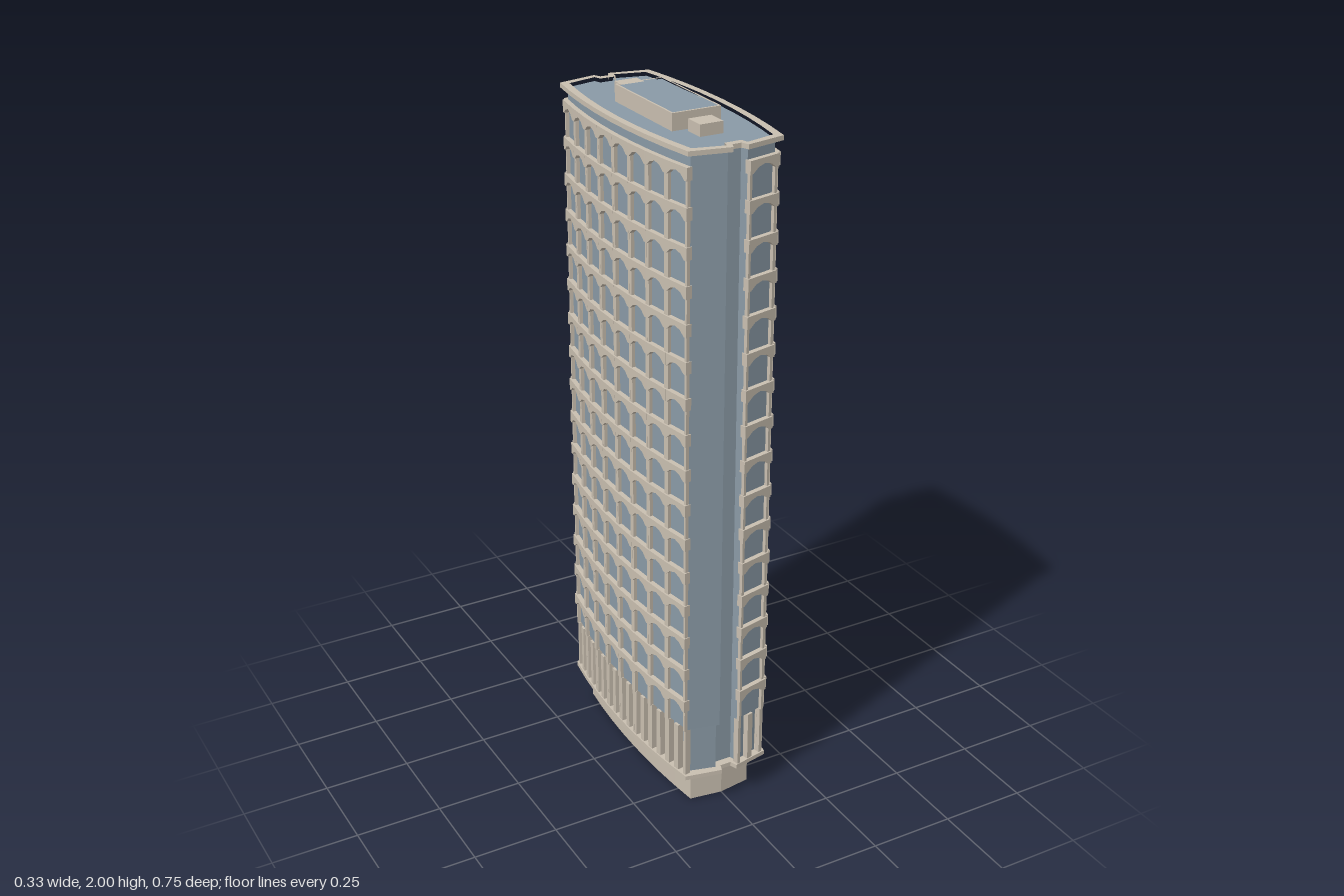
import * as THREE from 'three';
import { mergeGeometries } from 'three/addons/utils/BufferGeometryUtils.js';

const stone = new THREE.MeshStandardMaterial({ color: 0xc9bfb0 });
stone.name = 'warm stone';
const glass = new THREE.MeshStandardMaterial({ color: 0x8a9aa6 });
glass.name = 'blue glass';

// Tower plan [x, z], inset by i: bowed sides in eight chords, pointed notched ends
function towerPlan(i) {
  const half = [];
  const zc = 0.35 - 0.9 * i;
  for (let k = -4; k <= 4; k++) half.push([0.167 - i - 0.03 * (k / 4) ** 2, (zc * k) / 4]);
  half.push([0.022 + 0.4 * i, 0.373 - i], [0.013 + 0.55 * i, 0.352 - i]);
  half.push([-0.013 - 0.55 * i, 0.352 - i], [-0.022 - 0.4 * i, 0.373 - i]);
  return [...half, ...half.map(([x, z]) => [-x, -z])];
}

// Plinth plan: the same bow without notches
function plinthPlan(i) {
  const half = [];
  for (let k = -4; k <= 4; k++) half.push([0.115 - i - 0.02 * (k / 4) ** 2, ((0.31 - i) * k) / 4]);
  half.push([0, 0.324 - i]);
  return [...half, ...half.map(([x, z]) => [-x, -z])];
}

const toPoints = (plan) => plan.map(([x, z]) => new THREE.Vector2(x, -z));

// Vertical prism over a plan, with an optional hole
function prism(plan, y0, y1, hole) {
  const shape = new THREE.Shape(toPoints(plan));
  if (hole) shape.holes.push(new THREE.Path(toPoints(hole)));
  const g = new THREE.ExtrudeGeometry(shape, { depth: y1 - y0, bevelEnabled: false });
  return g.rotateX(-Math.PI / 2).translate(0, y0, 0);
}

function box(w, y0, y1, d, x = 0, z = 0) {
  return new THREE.BoxGeometry(w, y1 - y0, d).translate(x, (y0 + y1) / 2, z);
}

// Floor beam with an arched underside; y = 0 is the window head
function beam(w, depth) {
  const h = w / 2;
  const s = new THREE.Shape();
  s.moveTo(-h, 0.015);
  s.lineTo(-h, -0.02);
  s.lineTo(-h + 0.01, -0.02);
  s.lineTo(-h * 0.45, -0.006);
  s.lineTo(0, 0);
  s.lineTo(h * 0.45, -0.006);
  s.lineTo(h - 0.01, -0.02);
  s.lineTo(h, -0.02);
  s.lineTo(h, 0.015);
  return new THREE.ExtrudeGeometry(s, { depth: depth + 0.004, bevelEnabled: false }).translate(0, 0, -0.004);
}

// Local bay frame: x along the wall, y up, z outward
function bayMatrix([x0, z0], [x1, z1]) {
  const t = new THREE.Vector3(x1 - x0, 0, z1 - z0).normalize();
  const n = new THREE.Vector3(t.z, 0, -t.x);
  const m = new THREE.Matrix4().makeBasis(t.clone().negate(), new THREE.Vector3(0, 1, 0), n);
  return m.setPosition((x0 + x1) / 2, 0, (z0 + z1) / 2);
}

export function createModel() {
  const model = new THREE.Group();
  model.name = 'tower';
  const add = (name, geometry, material) => {
    const mesh = new THREE.Mesh(geometry, material);
    mesh.name = name;
    model.add(mesh);
  };

  // Hollow plinth and the slab above it
  add('plinth', prism(plinthPlan(0), 0, 0.1, plinthPlan(0.004)), stone);
  add('baseSlab', prism(towerPlan(0.006), 0.1, 0.113, null), stone);

  // Glass bodies, recessed behind the lower columns
  const wall = towerPlan(0.016);
  add('lobbyGlass', prism(towerPlan(0.028), 0.113, 0.264), glass);
  add('towerGlass', prism(wall, 0.264, 1.953), glass);

  // Facade bays: piers, floor beams and lower columns
  const beams = [], piers = [], columns = [];
  wall.forEach((p, i) => {
    if (i % 13 > 8) return; // skip the notches
    const q = wall[(i + 1) % wall.length];
    const w = Math.hypot(q[0] - p[0], q[1] - p[1]);
    const m = bayMatrix(p, q);
    for (let k = 0; k < 16; k++) {
      beams.push(beam(w + 0.006, 0.0145).translate(0, 0.35 + 0.1037 * k, 0).applyMatrix4(m));
    }
    for (const s of [-1, 1]) {
      piers.push(box(0.008, 0.262, 1.92, 0.012, s * (w / 2 - 0.004), 0.004).applyMatrix4(m));
      columns.push(box(0.01, 0.113, 0.264, 0.018, s * (w / 2 - 0.005), -0.002).applyMatrix4(m));
    }
    columns.push(box(0.018, 0.113, 0.264, 0.018, 0, -0.002).applyMatrix4(m));
  });
  add('floorBeams', mergeGeometries(beams), stone);
  add('piers', mergeGeometries(piers), stone);
  add('lowerColumns', mergeGeometries(columns), stone);

  // Parapet ring
  add('parapet', prism(towerPlan(0), 1.952, 1.965, towerPlan(0.02)), stone);

  // Rooftop plant room with a framed top, and two small housings
  const rect = (x, z) => [[x, -z], [x, z], [-x, z], [-x, -z]];
  add('plantRoom', box(0.143, 1.95, 1.994, 0.308), stone);
  add('plantRoomRim', prism(rect(0.0715, 0.154), 1.994, 2, rect(0.066, 0.148)), stone);
  add('plantRoomRoof', box(0.132, 1.993, 1.997, 0.296), glass);
  for (const s of [-1, 1]) add('roofHousing', box(0.068, 1.95, 1.985, 0.06, 0, s * 0.199), stone);

  return model;
}
